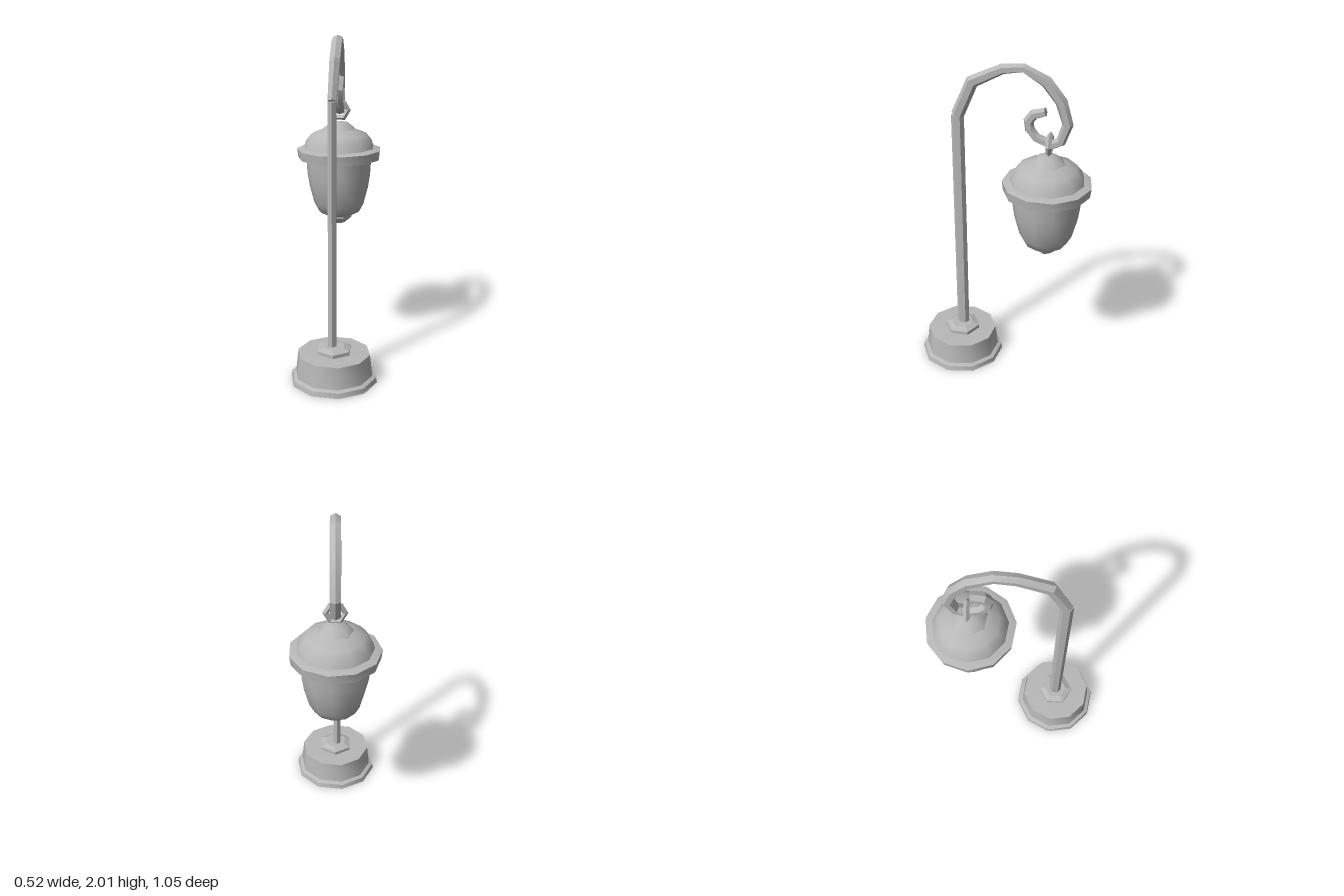
import * as THREE from 'three';
import { toCreasedNormals } from 'three/addons/utils/BufferGeometryUtils.js';

const LAMP_Z = -0.265, BASE_Z = 0.268;

// Turned part from a bottom-to-top [radius, y] profile
function turned(name, material, profile, sides, z, spin = 0, crease = 0.72) {
  const points = profile.map(([r, y]) => new THREE.Vector2(r, y));
  const geo = new THREE.LatheGeometry(points, sides).rotateY(spin);
  const mesh = new THREE.Mesh(toCreasedNormals(geo, crease), material);
  mesh.name = name;
  mesh.position.z = z;
  return mesh;
}

// Faceted bar through [x, y, z, half width, half depth] stations, bent in the side plane
function bar(name, material, stations, sides) {
  const centres = stations.map(([x, y, z]) => new THREE.Vector3(x, y, z));
  const xAxis = new THREE.Vector3(1, 0, 0);
  const last = centres.length - 1;
  const pos = [], index = [];
  centres.forEach((c, i) => {
    const before = i > 0 ? c.clone().sub(centres[i - 1]).normalize() : new THREE.Vector3();
    const after = i < last ? centres[i + 1].clone().sub(c).normalize() : new THREE.Vector3();
    const tangent = before.add(after).setX(0).normalize();
    const normal = new THREE.Vector3().crossVectors(xAxis, tangent);
    const [, , , w, d] = stations[i];
    for (let j = 0; j < sides; j++) {
      const a = (j / sides) * Math.PI * 2;
      pos.push(...c.clone().addScaledVector(normal, d * Math.cos(a)).addScaledVector(xAxis, w * Math.sin(a)).toArray());
    }
    if (i === last) return;
    for (let j = 0; j < sides; j++) {
      const k = (j + 1) % sides, r = i * sides, s = r + sides;
      index.push(r + j, r + k, s + j, r + k, s + k, s + j);
    }
  });
  for (let j = 1; j < sides - 1; j++) {
    const e = last * sides;
    index.push(0, j + 1, j, e, e + j, e + j + 1);
  }
  const geo = new THREE.BufferGeometry();
  geo.setAttribute('position', new THREE.Float32BufferAttribute(pos, 3));
  geo.setIndex(index);
  const mesh = new THREE.Mesh(toCreasedNormals(geo, 0.5), material);
  mesh.name = name;
  return mesh;
}

export function createModel() {
  const model = new THREE.Group();
  model.name = 'streetLamp';
  const grey = new THREE.MeshStandardMaterial({ color: 0xb8b8b8 });
  grey.name = 'grey metal';

  // Foot: flared plinth and the hexagonal collar of the post
  model.add(turned('base', grey,
    [[0, 0], [0.262, 0], [0.256, 0.03], [0.233, 0.04], [0.218, 0.172], [0, 0.178]], 10, BASE_Z, 0.17));
  model.add(turned('collar', grey,
    [[0.11, 0.17], [0.11, 0.197], [0.07, 0.213], [0, 0.213]], 6, BASE_Z - 0.003, 0, 0.2));

  // Post, then the arm curling into a scroll
  model.add(bar('post', grey,
    [[-0.01, 0.19, 0.262, 0.028, 0.038], [-0.01, 1.67, 0.262, 0.028, 0.038]], 6));
  const scroll = [
    [1.67, 0.262, 0.038], [1.88, 0.17, 0.038], [1.965, 0, 0.03], [1.98, -0.117, 0.026],
    [1.91, -0.245, 0.035], [1.8, -0.33, 0.035], [1.67, -0.37, 0.032], [1.565, -0.335, 0.03],
    [1.54, -0.285, 0.03], [1.575, -0.197, 0.028], [1.625, -0.157, 0.028], [1.675, -0.15, 0.03],
    [1.715, -0.178, 0.03], [1.735, -0.245, 0.025],
  ];
  model.add(bar('scrollArm', grey,
    scroll.map(([y, z, d], i) => [i === 0 ? -0.01 : 0, y, z, i === 0 ? 0.028 : 0.034, d]), 6));

  // Hanging ring around the scroll, on its stem
  const ring = new THREE.Mesh(
    toCreasedNormals(new THREE.TorusGeometry(0.054, 0.017, 4, 6), 0.3), grey);
  ring.name = 'hangingRing';
  ring.position.set(0, 1.542, -0.272);
  model.add(ring);

  // Lantern roof: rim, dome and small crown
  model.add(turned('rim', grey,
    [[0, 1.243], [0.257, 1.243], [0.264, 1.3], [0.225, 1.312], [0.21, 1.312]], 11, LAMP_Z, Math.PI / 11 + Math.PI / 2));
  model.add(turned('roofDome', grey,
    [[0.222, 1.305], [0.208, 1.35], [0.172, 1.395], [0.1, 1.425], [0, 1.435]], 11, LAMP_Z, Math.PI / 11 + Math.PI / 2));
  model.add(turned('crown', grey,
    [[0.122, 1.4], [0.1, 1.43], [0.055, 1.465], [0, 1.475]], 7, LAMP_Z, 0.3, 0.95));

  // Lantern bowl with its bottom finial
  model.add(turned('bowl', grey,
    [[0, 0.875], [0.085, 0.88], [0.128, 0.9], [0.158, 0.955], [0.188, 1.07], [0.2, 1.15], [0.206, 1.25]], 11, LAMP_Z, 0.2, 0.8));
  model.add(turned('bottomFinial', grey,
    [[0, 0.82], [0.035, 0.825], [0.078, 0.862], [0.085, 0.89]], 6, LAMP_Z, 0.4, 0.4));

  return model;
}
